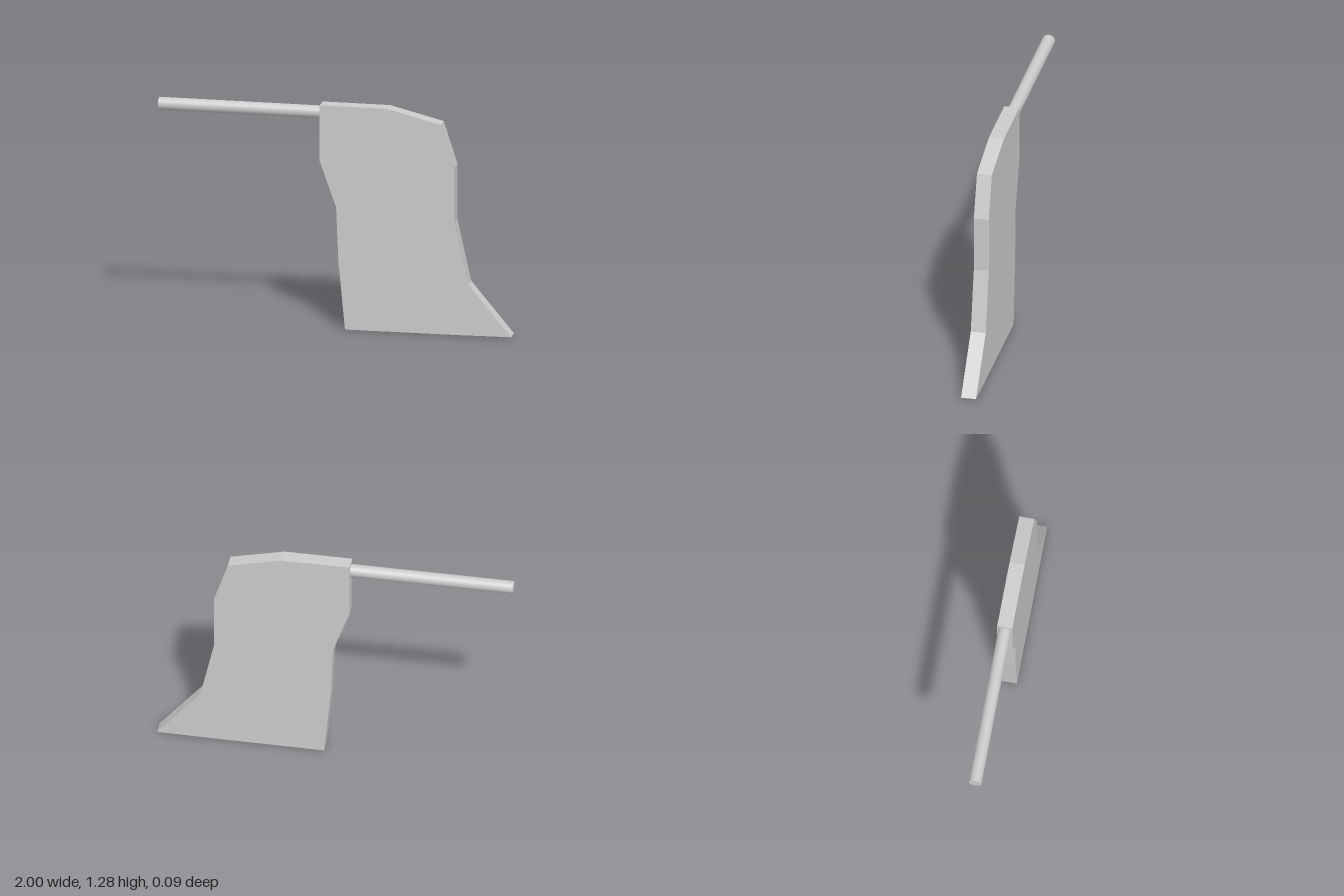
import * as THREE from 'three';

export function createModel() {
  const model = new THREE.Group();
  const material = new THREE.MeshStandardMaterial({ color: 0xcccccc });

  // Flat blade: one outline, extruded to an even thickness
  const depth = 0.085;
  const outline = [
    [0.06, 0], [0.69, 0.003], [1, 0.007], [0.757, 0.297], [0.68, 0.645],
    [0.68, 0.965], [0.602, 1.205], [0.298, 1.28], [-0.083, 1.28],
    [-0.083, 0.96], [0.01, 0.7], [0.023, 0.39],
  ].map(([x, y]) => new THREE.Vector2(x, y));
  const bladeGeometry = new THREE.ExtrudeGeometry(new THREE.Shape(outline), {
    depth, bevelEnabled: false,
  });
  bladeGeometry.translate(0, 0, -depth / 2);
  const blade = new THREE.Mesh(bladeGeometry, material);
  blade.name = 'blade';

  // Round rod butting against the upper edge of the blade
  const rodStart = -1, rodEnd = -0.082;
  const rodGeometry = new THREE.CylinderGeometry(0.036, 0.036, rodEnd - rodStart, 32);
  rodGeometry.rotateZ(Math.PI / 2);
  const rod = new THREE.Mesh(rodGeometry, material);
  rod.name = 'rod';
  rod.position.set((rodStart + rodEnd) / 2, 1.231, 0);

  model.add(blade, rod);
  return model;
}
